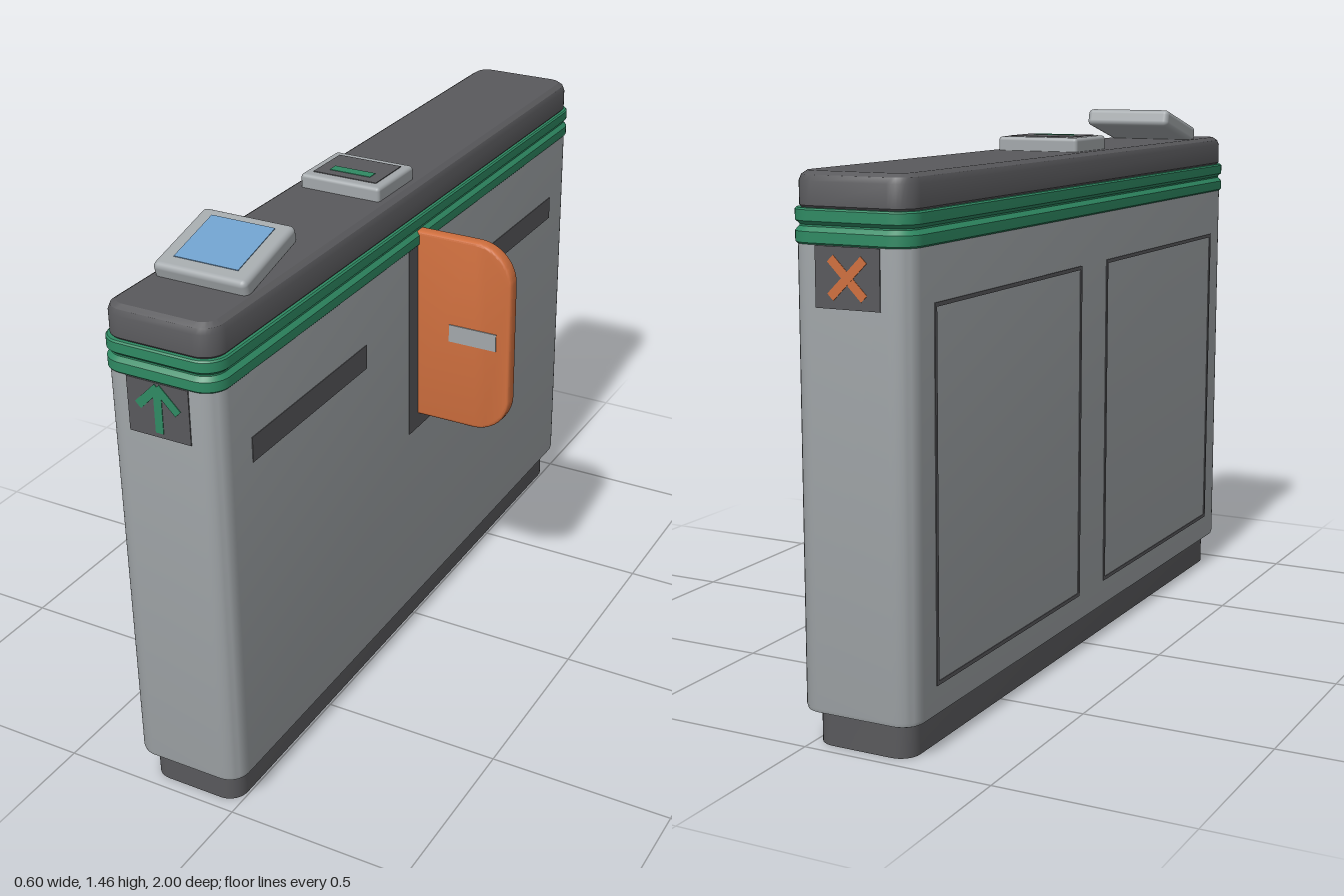
import * as THREE from 'three';
import { toCreasedNormals } from 'three/addons/utils/BufferGeometryUtils.js';
import { RoundedBoxGeometry } from 'three/addons/geometries/RoundedBoxGeometry.js';

const CX = -0.137; // centre line of the cabinet

function material(name, color) {
  const m = new THREE.MeshStandardMaterial({ color });
  m.name = name;
  return m;
}

// Upright rounded-rectangle solid; profile lists [inset, y] from bottom to top
function roundedPrism(halfW, halfL, radius, profile, steps = 8) {
  const rings = profile.map(([inset, y]) => {
    const r = Math.max(radius - inset, 0.004);
    const ring = [];
    for (let q = 0; q < 4; q++) {
      const sx = q === 0 || q === 3 ? 1 : -1;
      const sz = q < 2 ? 1 : -1;
      for (let i = 0; i <= steps; i++) {
        const a = (q + i / steps) * Math.PI / 2;
        ring.push([
          sx * (halfW - inset - r) + r * Math.cos(a), y,
          sz * (halfL - inset - r) + r * Math.sin(a),
        ]);
      }
    }
    return ring;
  });
  const pos = [];
  const tri = (a, b, c) => pos.push(...a, ...b, ...c);
  const n = rings[0].length;
  const low = rings[0], high = rings[rings.length - 1];
  for (let i = 0; i < n; i++) {
    const k = (i + 1) % n;
    for (let j = 0; j < rings.length - 1; j++) {
      const a = rings[j][i], b = rings[j][k], c = rings[j + 1][k], d = rings[j + 1][i];
      tri(a, d, b);
      tri(b, d, c);
    }
    tri([0, low[0][1], 0], low[i], low[k]);
    tri([0, high[0][1], 0], high[k], high[i]);
  }
  const g = new THREE.BufferGeometry();
  g.setAttribute('position', new THREE.Float32BufferAttribute(pos, 3));
  return toCreasedNormals(g, 0.5);
}

export function createModel() {
  const model = new THREE.Group();
  model.name = 'accessGate';
  const steel = material('brushed steel', 0xa3a8ab);
  const dark = material('dark grey', 0x59595c);
  const green = material('green', 0x2f8a63);
  const orange = material('orange', 0xcf6f3e);
  const blue = material('screen blue', 0x6f9fcb);

  const add = (name, geo, mat, x = 0, y = 0, z = 0, parent = model) => {
    const mesh = new THREE.Mesh(geo, mat);
    mesh.name = name;
    mesh.position.set(x, y, z);
    parent.add(mesh);
    return mesh;
  };
  const box = (name, mat, w, h, d, x, y, z, parent) =>
    add(name, new THREE.BoxGeometry(w, h, d), mat, x, y, z, parent);

  // Cabinet: plinth, body, grooved trim band and lid
  add('plinth', roundedPrism(0.131, 0.965, 0.05, [[0, 0], [0, 0.095]]), dark, CX);
  add('body', roundedPrism(0.157, 0.995, 0.055,
    [[0.012, 0.086], [0.003, 0.09], [0, 0.1], [0, 1.21]]), steel, CX);
  add('trimBand', roundedPrism(0.163, 1, 0.06,
    [[0.004, 1.203], [0, 1.207], [0, 1.232], [0.01, 1.243], [0.01, 1.247],
      [0, 1.256], [0, 1.281], [0.004, 1.285]]), green, CX);
  add('lid', roundedPrism(0.155, 0.99, 0.055,
    [[0.008, 1.28], [0, 1.29], [0, 1.345], [0.006, 1.359], [0.02, 1.368]]), dark, CX);

  // Recessed slots on the passage side
  const sideX = CX + 0.157;
  for (const s of [1, -1]) {
    box('sideSlot', dark, 0.004, 0.067, 0.55, sideX, 0.998, s * 0.581);
  }
  box('flapSlot', dark, 0.004, 0.56, 0.14, sideX, 0.93, 0);

  // Outlined service doors on the other side
  const backX = CX - 0.157;
  for (const s of [1, -1]) {
    const door = new THREE.Group();
    door.name = 'serviceDoorSeam';
    door.position.set(backX, 0.617, s * 0.48);
    model.add(door);
    for (const e of [1, -1]) {
      box('seamAcross', dark, 0.004, 0.01, 0.8, 0, e * 0.45, 0, door);
      box('seamUpright', dark, 0.004, 0.91, 0.01, 0, 0, e * 0.395, door);
    }
  }

  // Swinging flap with rounded outer corners
  const b = 0.008, x0 = 0.0, x1 = 0.297 - b, y0 = 0.692 + b, y1 = 1.242 - b, r = 0.1;
  const outline = new THREE.Shape();
  outline.moveTo(x0, y0);
  outline.lineTo(x1 - r, y0);
  outline.absarc(x1 - r, y0 + r, r, -Math.PI / 2, 0, false);
  outline.lineTo(x1, y1 - r);
  outline.absarc(x1 - r, y1 - r, r, 0, Math.PI / 2, false);
  outline.lineTo(x0, y1);
  outline.closePath();
  const flap = new THREE.ExtrudeGeometry(outline, {
    depth: 0.024, bevelEnabled: true, bevelSize: b, bevelThickness: 0.008,
    bevelSegments: 3, curveSegments: 10,
  });
  add('flap', toCreasedNormals(flap, 0.6), orange, 0, 0, -0.012);
  for (const s of [1, -1]) {
    box('flapReflector', steel, 0.14, 0.05, 0.004, 0.187, 0.966, s * 0.021);
  }

  // Direction signs: green arrow in front, orange cross at the back
  for (const s of [1, -1]) {
    const sign = new THREE.Group();
    sign.name = s > 0 ? 'entrySign' : 'noEntrySign';
    sign.position.set(CX, 1.131, s * 0.996);
    if (s < 0) sign.rotation.y = Math.PI;
    model.add(sign);
    box('signPanel', dark, 0.17, 0.142, 0.004, 0, 0, 0, sign);
    if (s > 0) {
      box('arrowStem', green, 0.022, 0.118, 0.003, 0, 0, 0.002, sign);
      for (const e of [1, -1]) {
        box('arrowHead', green, 0.08, 0.022, 0.003, e * 0.027, 0.032, 0.0025, sign)
          .rotation.z = -e * Math.PI / 4;
      }
    } else {
      for (const e of [1, -1]) {
        box('crossBar', orange, 0.125, 0.022, 0.003, 0, 0, 0.002 + e * 0.0003, sign)
          .rotation.z = e * Math.PI / 4;
      }
    }
  }

  // Card reader on the lid
  const reader = new THREE.Group();
  reader.name = 'cardReader';
  reader.position.set(-0.135, 1.38, 0.066);
  model.add(reader);
  add('readerFrame', new RoundedBoxGeometry(0.234, 0.05, 0.192, 3, 0.01), steel, 0, 0, 0, reader);
  box('readerPad', dark, 0.186, 0.004, 0.137, 0, 0.025, -0.001, reader);
  box('readerLight', green, 0.12, 0.003, 0.03, 0, 0.027, 0.025, reader);

  // Tilted display
  const display = new THREE.Group();
  display.name = 'display';
  display.position.set(-0.136, 1.409, 0.694);
  display.rotation.x = 0.26;
  model.add(display);
  add('displayCase', new RoundedBoxGeometry(0.258, 0.05, 0.24, 3, 0.015), steel, 0, 0, 0, display);
  box('screen', blue, 0.178, 0.004, 0.17, 0, 0.025, -0.005, display);

  return model;
}
